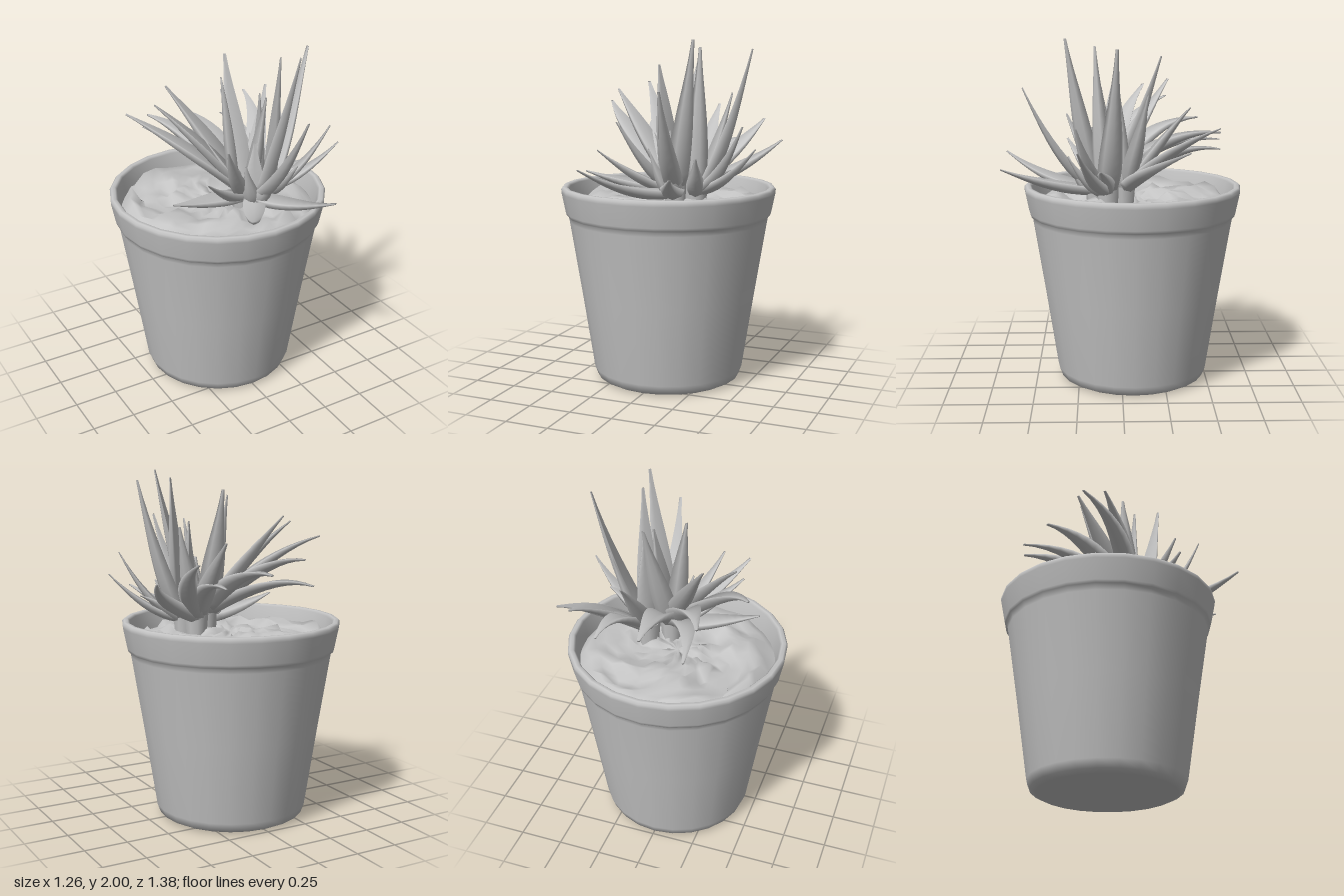
import * as THREE from 'three';

const clay = new THREE.MeshStandardMaterial({ color: 0xc4c4c4 });
clay.name = 'plain grey';
const POT_X = -0.006, POT_Z = -0.065;

// repeatable noise from two integers
const noise = (i, j) => {
  const s = Math.sin(i * 127.1 + j * 311.7) * 43758.5453;
  return s - Math.floor(s);
};

function part(geometry, name) {
  const mesh = new THREE.Mesh(geometry, clay);
  mesh.name = name;
  return mesh;
}

// tapered pot with a collar, a rounded foot and an open top
function makePot() {
  const profile = [
    [0, 0.022], [0.31, 0.022], [0.335, 0.006], [0.39, 0.004], [0.425, 0.022], [0.443, 0.07],
    [0.512, 0.52], [0.582, 0.955], [0.587, 0.98], [0.598, 0.988], [0.604, 1.005],
    [0.628, 1.125], [0.629, 1.145], [0.618, 1.157], [0.598, 1.157], [0.586, 1.145],
    [0.568, 1.05], [0.555, 0.97]
  ].map(([r, y]) => new THREE.Vector2(r, y));
  const geometry = new THREE.LatheGeometry(profile, 24);
  geometry.translate(POT_X, 0, POT_Z);
  return part(geometry, 'pot');
}

// lumpy gravel: rings of jittered vertices
function makeSoil() {
  const rings = 11, sides = 36, pos = [0, 1.08, 0], index = [];
  for (let i = 1; i <= rings; i++) {
    for (let j = 0; j < sides; j++) {
      const edge = i === rings;
      const r = 0.565 * (i + (edge ? 0 : 0.7 * (noise(i, j) - 0.5))) / rings;
      const a = (j + 0.7 * (noise(j, i + 40) - 0.5)) / sides * Math.PI * 2;
      const lump = 0.05 * noise(Math.floor(i / 2) + 9, Math.floor(j / 3) + 7);
      const y = edge ? 1.035 : 1.045 + lump + 0.04 * noise(i, j + 3);
      pos.push(r * Math.cos(a), y, r * Math.sin(a));
      const k = (j + 1) % sides, p = 1 + (i - 1) * sides, q = p - sides;
      if (i === 1) index.push(0, p + k, p + j);
      else index.push(q + j, q + k, p + k, q + j, p + k, p + j);
    }
  }
  const geometry = new THREE.BufferGeometry();
  geometry.setAttribute('position', new THREE.Float32BufferAttribute(pos, 3));
  geometry.setIndex(index);
  geometry.translate(POT_X, 0, POT_Z);
  geometry.computeVertexNormals();
  return part(geometry, 'soil');
}

// crescent cross-section: across the blade, then through its thickness
const SECTION = [[1, 0.35], [0, 0.02], [-1, 0.35], [-0.7, -0.3], [0, -0.6], [0.7, -0.3]];

// a fleshy blade swept from base to tip; bend lifts and sway shifts the middle of the curve
function makeLeaf(base, tip, width, bend, sway) {
  const h = new THREE.Vector3(tip.x - base.x, 0, tip.z - base.z).normalize();
  const side = new THREE.Vector3(0, 1, 0).cross(h);
  const middle = base.clone().lerp(tip, 0.5).addScaledVector(side, sway);
  middle.y += bend;
  const curve = new THREE.QuadraticBezierCurve3(base, middle, tip);
  const n = SECTION.length, steps = 10, pos = [], index = [];
  for (let i = 0; i <= steps; i++) {
    const t = i / steps;
    const c = curve.getPoint(t);
    const normal = curve.getTangent(t).cross(side).normalize();
    const w = width * ((0.8 + 0.7 * t) * (1 - THREE.MathUtils.smoothstep(t, 0.05, 1.1)) + 0.08);
    SECTION.forEach(([u, v], j) => {
      const p = c.clone().addScaledVector(side, u * w).addScaledVector(normal, v * w);
      pos.push(p.x, p.y, p.z);
      if (i === steps) return;
      const a = i * n + j, b = i * n + (j + 1) % n;
      index.push(a, b, b + n, a, b + n, a + n);
    });
  }
  // end caps
  for (let j = 1; j < n - 1; j++) {
    index.push(0, j + 1, j, steps * n, steps * n + j, steps * n + j + 1);
  }
  const geometry = new THREE.BufferGeometry();
  geometry.setAttribute('position', new THREE.Float32BufferAttribute(pos, 3));
  geometry.setIndex(index);
  geometry.computeVertexNormals();
  return part(geometry, 'leaf');
}

// short stem plus leaves given as [tip x, tip y, tip z, base height, half width, bend, sway]
function makeRosette(name, x, z, leaves) {
  const group = new THREE.Group();
  group.name = name;
  const stem = new THREE.CylinderGeometry(0.07, 0.055, 0.17, 9);
  stem.translate(x, 1.12, z);
  group.add(part(stem, 'stem'));
  for (const [tx, ty, tz, by, width, bend, sway = 0] of leaves) {
    const out = new THREE.Vector3(tx - x, 0, tz - z).normalize().multiplyScalar(0.04);
    const base = new THREE.Vector3(x + out.x, by, z + out.z);
    group.add(makeLeaf(base, new THREE.Vector3(tx, ty, tz), width, bend, sway));
  }
  return group;
}

export function createModel() {
  const model = new THREE.Group();
  model.name = 'pottedSucculent';
  model.add(makePot(), makeSoil());
  model.add(makeRosette('mainRosette', 0.08, 0.08, [
    // long arching blades
    [-0.22, 1.39, -0.59, 1.2, 0.065, 0.14, 0.1],
    [0.03, 1.46, -0.57, 1.22, 0.08, 0.15],
    [-0.25, 1.52, -0.46, 1.22, 0.08, 0.15, 0.06],
    [-0.47, 1.63, -0.28, 1.22, 0.07, 0.1, 0.14],
    [-0.36, 1.71, -0.14, 1.24, 0.065, 0.06, 0.05],
    [-0.22, 1.75, -0.28, 1.24, 0.07, 0.02],
    // low blades
    [-0.42, 1.25, 0.18, 1.15, 0.07, -0.02],
    [-0.28, 1.39, 0.32, 1.16, 0.06, -0.04],
    [-0.16, 1.55, 0.32, 1.18, 0.055, -0.06],
    // upright heart
    [-0.03, 1.86, 0.02, 1.2, 0.07, 0.05],
    [0.13, 1.9, -0.22, 1.2, 0.075, -0.05],
    [0.2, 1.73, 0.12, 1.18, 0.07, 0]
  ]));
  model.add(makeRosette('frontRosette', 0.12, 0.14, [
    [-0.22, 1.32, 0.68, 1.15, 0.065, -0.08],
    [0.3, 1.29, 0.67, 1.15, 0.065, -0.04, -0.03],
    [0.19, 1.73, 0.55, 1.18, 0.06, -0.14],
    [0.29, 2.0, 0.31, 1.2, 0.07, -0.06],
    // short inner blades
    [0.0, 1.4, 0.24, 1.14, 0.055, -0.05],
    [0.14, 1.34, 0.3, 1.14, 0.06, -0.05],
    [0.1, 1.5, 0.17, 1.14, 0.06, 0]
  ]));
  model.add(makeRosette('sideRosette', 0.22, 0.08, [
    [0.62, 1.42, 0.24, 1.16, 0.05, -0.08],
    [0.55, 1.54, 0.25, 1.16, 0.05, -0.12],
    [0.48, 1.3, 0.12, 1.16, 0.055, 0.03],
    [0.53, 1.95, 0.03, 1.18, 0.07, -0.16],
    [0.27, 1.96, 0.15, 1.2, 0.065, -0.03],
    [0.3, 1.36, 0.3, 1.15, 0.055, -0.05]
  ]));
  model.add(makeRosette('backRosette', 0.19, -0.01, [
    [0.29, 1.4, -0.54, 1.2, 0.06, 0.15, -0.06],
    [0.44, 1.53, -0.52, 1.19, 0.065, 0.06, -0.1],
    [0.2, 1.62, -0.38, 1.2, 0.065, 0.03],
    [0.6, 1.42, -0.35, 1.18, 0.065, 0, -0.13],
    [0.36, 1.7, -0.14, 1.2, 0.06, -0.05],
    [0.22, 1.72, 0.02, 1.18, 0.065, 0]
  ]));
  return model;
}
